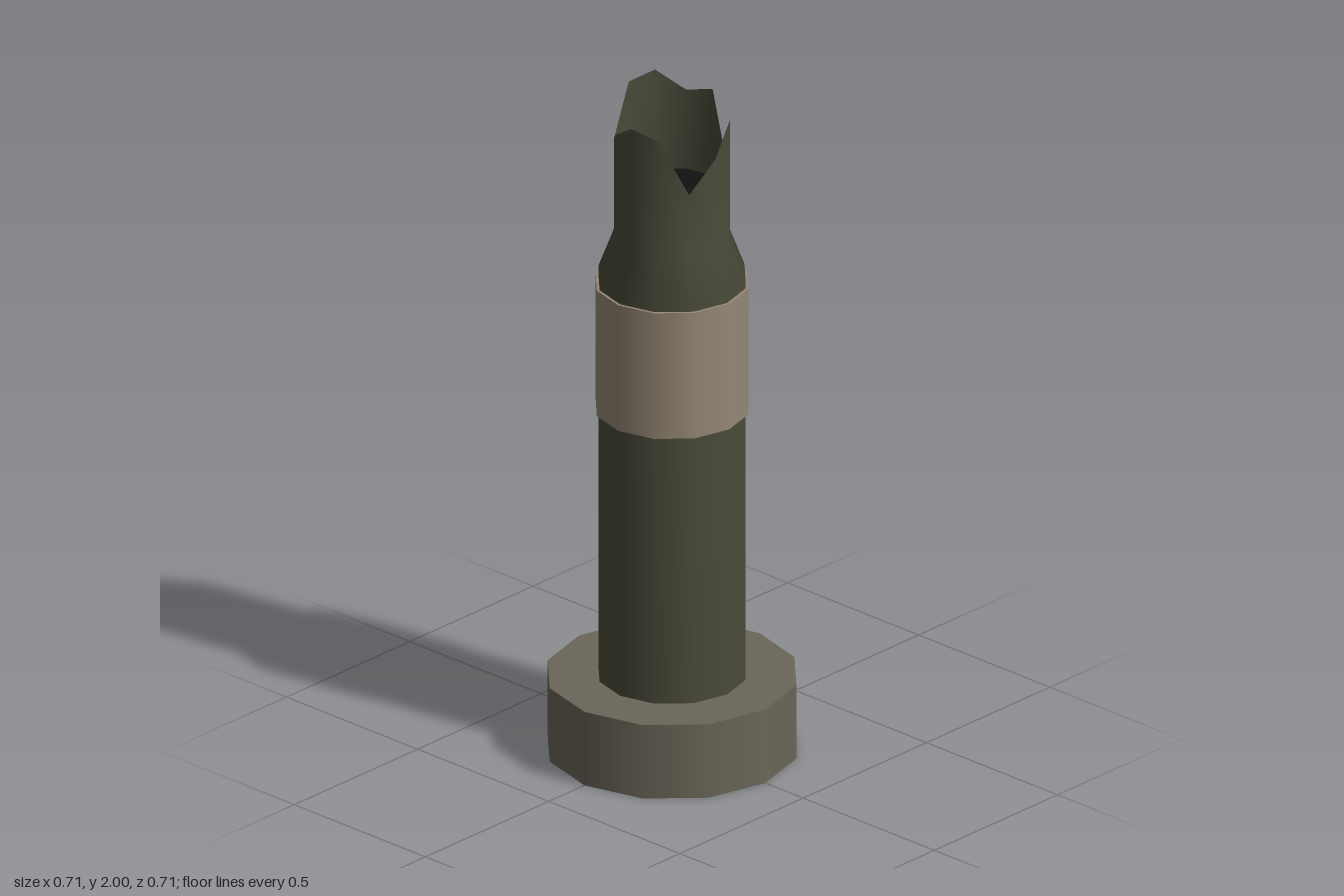
import * as THREE from 'three';

const SIDES = 12;

export function createModel() {
  const group = new THREE.Group();
  const material = (name, color, side = THREE.FrontSide) => {
    const m = new THREE.MeshStandardMaterial({ color, side });
    m.name = name;
    return m;
  };
  const add = (name, geometry, mat) => {
    const mesh = new THREE.Mesh(geometry, mat);
    mesh.name = name;
    group.add(mesh);
    return mesh;
  };
  // Closed twelve-sided drum between two heights
  const drum = (name, radius, y0, y1, mat) => {
    const g = new THREE.CylinderGeometry(radius, radius, y1 - y0, SIDES);
    add(name, g, mat).position.y = (y0 + y1) / 2;
  };

  const olive = material('dark olive', 0x4a4a3a, THREE.DoubleSide);
  const stone = material('grey olive', 0x6a6658);
  const tan = material('tan', 0x968875);
  const black = material('black', 0x111111);

  drum('base', 0.355, 0, 0.225, stone);
  drum('band', 0.218, 1.04, 1.425, tan);
  drum('darkCore', 0.154, 1.43, 1.7, black);

  // Hollow casing with a shoulder and a torn rim
  const profile = [[0.21, 0.2], [0.21, 1.45], [0.165, 1.57], [0.165, 1.85]]
    .map(([r, y]) => new THREE.Vector2(r, y));
  const casing = new THREE.LatheGeometry(profile, SIDES);

  // Rim heights, from the front round through +x
  const rim = [1.85, 1.936, 1.73, 1.957, 1.938, 2.0, 1.984, 1.846, 1.895, 1.947, 1.926, 1.762];
  const pos = casing.attributes.position;
  for (let i = 0; i <= SIDES; i++) {
    pos.setY(i * profile.length + profile.length - 1, rim[i % SIDES]);
  }
  add('tornCasing', casing, olive);

  return group;
}
